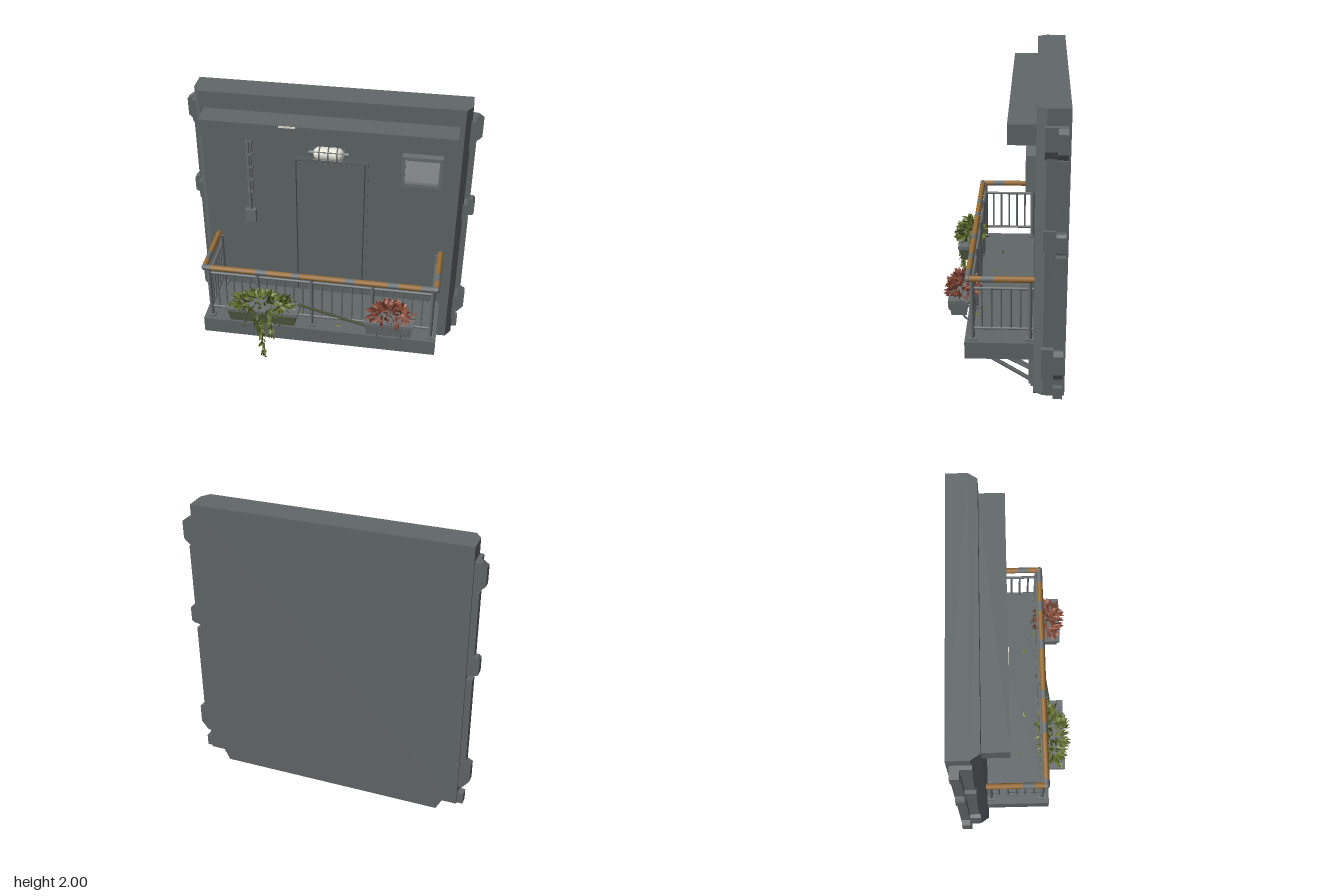
import * as THREE from 'three';
import { mergeGeometries } from 'three/addons/utils/BufferGeometryUtils.js';

const mat = (name, color, double) => {
  const m = new THREE.MeshStandardMaterial({ color, side: double ? THREE.DoubleSide : THREE.FrontSide });
  m.name = name;
  return m;
};

export function createModel() {
  const root = new THREE.Group();
  root.name = 'balconyWall';
  const wallGrey = mat('wall grey', 0x62686a);
  const metal = mat('metal grey', 0x6a7072);
  const dark = mat('dark grey', 0x3c4142);
  const wood = mat('worn wood', 0x9a6d35);
  const cream = mat('lamp cream', 0xe6e4d6);
  const green = mat('leaf green', 0x68742c, true);
  const deepGreen = mat('deep leaf green', 0x4c5726, true);
  const red = mat('leaf red', 0x91503c, true);
  const deepRed = mat('deep leaf red', 0x70392c, true);
  const mossy = mat('mossy grey', 0x555b42);

  let seed = 7;
  const rnd = () => (seed = (seed * 16807) % 2147483647) / 2147483647;
  const V = (x, y, z) => new THREE.Vector3(x, y, z);
  const add = (name, geo, m, parent = root) => {
    const mesh = new THREE.Mesh(geo, m);
    mesh.name = name;
    parent.add(mesh);
    return mesh;
  };
  const group = (name) => {
    const g = new THREE.Group();
    g.name = name;
    root.add(g);
    return g;
  };
  const box = (name, x0, x1, y0, y1, z0, z1, m, parent) => {
    const b = add(name, new THREE.BoxGeometry(x1 - x0, y1 - y0, z1 - z0), m, parent);
    b.position.set((x0 + x1) / 2, (y0 + y1) / 2, (z0 + z1) / 2);
    return b;
  };
  const rod = (name, a, b, r, m, parent, sides = 8) => {
    const d = b.clone().sub(a);
    const c = add(name, new THREE.CylinderGeometry(r, r, d.length(), sides), m, parent);
    c.position.copy(a).add(b).multiplyScalar(0.5);
    c.quaternion.setFromUnitVectors(V(0, 1, 0), d.normalize());
    return c;
  };
  const poly = (pts, depth, z) => {
    const g = new THREE.ExtrudeGeometry(new THREE.Shape(pts.map((p) => new THREE.Vector2(...p))), { depth, bevelEnabled: false });
    return g.translate(0, 0, z);
  };

  // Wall slab with a chamfered front edge
  const outline = [[-0.78, 0.02], [0.78, 0.02], [0.82, 0.1], [0.92, 0.1], [0.92, 2], [-0.92, 2], [-0.92, 0.1], [-0.82, 0.1]];
  add('wallBack', poly(outline, 0.14, -0.39), wallGrey);
  const front = poly(outline, 0.06, -0.25);
  const fp = front.attributes.position;
  for (let i = 0; i < fp.count; i++) {
    if (fp.getZ(i) > -0.2 && Math.abs(fp.getX(i)) > 0.9) fp.setX(i, Math.sign(fp.getX(i)) * 0.88);
  }
  front.computeVertexNormals();
  add('wallFront', front, wallGrey);

  // Edge strips and locking tabs, mirrored
  const tabs = [
    [[0.9, 1.66], [0.995, 1.75], [0.995, 1.87], [0.96, 1.895], [0.9, 1.9]],
    [[0.9, 1.11], [0.985, 1.13], [0.995, 1.14], [0.995, 1.24], [0.98, 1.255], [0.9, 1.255]],
    [[0.9, 0.23], [0.95, 0.24], [0.995, 0.3], [0.995, 0.43], [0.96, 0.45], [0.9, 0.46]],
  ];
  for (const s of [-1, 1]) {
    const side = group(s < 0 ? 'rightEdge' : 'leftEdge');
    const mirror = (x0, x1) => (s > 0 ? [x0, x1] : [-x1, -x0]);
    for (const [y0, y1] of [[0.46, 1.09], [1.26, 1.7], [0.1, 0.18]]) {
      box('edgeStrip', ...mirror(0.9, 0.96), y0, y1, -0.375, -0.315, wallGrey, side);
    }
    for (const t of tabs) {
      const pts = t.map(([x, y]) => [x * s, y]);
      add('tab', poly(pts, 0.06, -0.375), wallGrey, side);
      const inner = t.map(([x, y]) => [Math.min(x, 0.945) * s, y]);
      add('tabBlock', poly(inner, 0.075, -0.315), wallGrey, side);
    }
  }

  // Canopy and its light strip
  box('canopy', -0.845, 0.845, 1.755, 1.88, -0.2, -0.022, wallGrey);
  box('canopyLight', -0.31, -0.2, 1.868, 1.88, -0.022, -0.018, cream);

  // Door and frame
  const door = group('door');
  for (const [x0, x1, y0, y1] of [[-0.255, -0.235, 0.42, 1.56], [0.245, 0.265, 0.42, 1.56], [-0.235, 0.245, 1.535, 1.56]]) {
    box('doorFrame', x0, x1, y0, y1, -0.195, -0.182, wallGrey, door);
  }
  box('doorGap', -0.235, 0.245, 0.42, 1.535, -0.195, -0.189, dark, door);
  box('doorLeaf', -0.228, 0.238, 0.42, 1.528, -0.195, -0.184, wallGrey, door);

  // Caged lamp
  const lamp = group('lamp');
  box('lampBase', -0.11, 0.11, 1.585, 1.665, -0.195, -0.175, metal, lamp);
  const bulb = add('lampGlass', new THREE.CapsuleGeometry(0.045, 0.12, 6, 14), cream, lamp);
  bulb.rotation.z = Math.PI / 2;
  bulb.position.set(0, 1.625, -0.15);
  for (const x of [-0.06, 0, 0.06]) {
    const ring = add('lampRing', new THREE.TorusGeometry(0.049, 0.005, 5, 16), metal, lamp);
    ring.rotation.y = Math.PI / 2;
    ring.position.set(x, 1.625, -0.15);
  }
  for (const y of [1.595, 1.655]) rod('lampBar', V(-0.1, y, -0.111), V(0.1, y, -0.111), 0.004, metal, lamp);
  for (const s of [-1, 1]) rod('lampEnd', V(s * 0.1, 1.625, -0.155), V(s * 0.135, 1.625, -0.155), 0.015, metal, lamp);

  // Louvred vent
  const vent = group('vent');
  box('ventBack', 0.5, 0.75, 1.44, 1.65, -0.195, -0.17, dark, vent);
  box('ventTop', 0.49, 0.76, 1.635, 1.66, -0.195, -0.13, metal, vent);
  box('ventBottom', 0.49, 0.76, 1.43, 1.455, -0.195, -0.13, metal, vent);
  for (const x of [0.49, 0.738]) box('ventSide', x, x + 0.022, 1.455, 1.635, -0.195, -0.13, metal, vent);
  for (let i = 0; i < 6; i++) {
    const slat = box('ventSlat', 0.512, 0.738, 1.463 + i * 0.029, 1.488 + i * 0.029, -0.155, -0.149, metal, vent);
    slat.rotation.x = -0.5;
  }

  // Conduit, cable and switch box
  const conduit = group('conduit');
  rod('conduitPipe', V(-0.56, 1.1, -0.178), V(-0.56, 1.76, -0.178), 0.012, metal, conduit);
  box('switchBox', -0.597, -0.523, 1.01, 1.11, -0.195, -0.155, metal, conduit);
  const cable = new THREE.CatmullRomCurve3([V(-0.54, 1.24, -0.18), V(-0.545, 1.4, -0.18), V(-0.535, 1.64, -0.18),
    V(-0.5, 1.692, -0.18), V(-0.4, 1.697, -0.18), V(0, 1.695, -0.18), V(0.26, 1.695, -0.18)]);
  add('cable', new THREE.TubeGeometry(cable, 40, 0.009, 6), metal, conduit);
  for (const y of [1.25, 1.35, 1.45, 1.55, 1.65]) box('cableClip', -0.576, -0.53, y, y + 0.016, -0.195, -0.164, metal, conduit);

  // Balcony floor
  box('floor', -0.843, 0.816, 0.297, 0.415, -0.2, 0.25, wallGrey);

  // Railing
  const rail = group('railing');
  const L = -0.812, R = 0.795, F = 0.222, top = 0.86;
  const cuts = [-0.812, -0.77, -0.45, -0.37, -0.2, -0.14, 0.17, 0.24, 0.46, 0.54, 0.69, 0.795];
  for (let i = 0; i < cuts.length - 1; i++) {
    rod('handrailFront', V(cuts[i], top, F), V(cuts[i + 1], top, F), 0.02, i % 2 ? wood : metal, rail, 10);
  }
  for (const x of [L, R]) {
    const corner = add('handrailCorner', new THREE.SphereGeometry(0.022, 10, 8), metal, rail);
    corner.position.set(x, top, F);
    rod('handrailSide', V(x, top, F), V(x, top, 0.14), 0.02, wood, rail, 10);
    rod('handrailSideWorn', V(x, top, 0.14), V(x, top, 0.06), 0.02, metal, rail, 10);
    rod('handrailSide', V(x, top, 0.06), V(x, top, -0.195), 0.02, wood, rail, 10);
    const xi = x - Math.sign(x) * 0.022;
    for (const z of [0.2, -0.165]) {
      rod('sidePost', V(xi, 0.41, z), V(xi, top, z), 0.015, metal, rail);
      box('postFoot', xi - 0.025, xi + 0.025, 0.414, 0.43, z - 0.025, z + 0.025, metal, rail);
    }
    for (const y of [0.5, 0.785]) rod('sideBar', V(xi, y, 0.2), V(xi, y, -0.19), 0.01, metal, rail);
    for (let i = 1; i < 6; i++) rod('sideBaluster', V(xi, 0.5, 0.2 - i * 0.061), V(xi, 0.785, 0.2 - i * 0.061), 0.007, metal, rail, 6);
  }
  for (const y of [0.5, 0.8]) rod('frontBar', V(-0.79, y, 0.2), V(0.773, y, 0.2), 0.01, metal, rail);
  const posts = [-0.79, -0.445, -0.065, 0.36, 0.773];
  posts.forEach((x, i) => {
    rod('frontPost', V(x, 0.41, 0.2), V(x, top, 0.2), 0.014, metal, rail);
    box('postFoot', x - 0.025, x + 0.025, 0.414, 0.43, 0.175, 0.225, metal, rail);
    if (i === 4) return;
    for (let k = 1; k < 6; k++) {
      const bx = x + ((posts[i + 1] - x) * k) / 6;
      rod('frontBaluster', V(bx, 0.5, 0.2), V(bx, 0.8, 0.2), 0.006, metal, rail, 6);
    }
  });

  // Support brackets below the floor
  for (const x of [-0.63, 0.585]) {
    const b = group('supportBracket');
    box('bracketPlate', x - 0.06, x + 0.06, 0.03, 0.285, -0.2, -0.175, dark, b);
    box('bracketFoot', x - 0.088, x + 0.088, 0, 0.05, -0.235, -0.175, metal, b);
    for (const s of [-1, 1]) {
      const px = x + s * 0.07;
      box('bracketCheek', px - 0.016, px + 0.016, 0.02, 0.285, -0.2, -0.16, metal, b);
      box('bracketArm', px - 0.016, px + 0.016, 0.255, 0.297, -0.19, 0.18, metal, b);
      rod('bracketStrut', V(px, 0.25, 0.15), V(px, 0.04, -0.18), 0.014, metal, b);
      rod('bracketBrace', V(px, 0.25, 0.06), V(px, 0.12, -0.18), 0.009, metal, b);
      rod('bracketBolt', V(px - 0.024, 0.258, 0.155), V(px + 0.024, 0.258, 0.155), 0.022, metal, b);
    }
    rod('bracketCrossbar', V(x - 0.07, 0.258, 0.155), V(x + 0.07, 0.258, 0.155), 0.012, metal, b);
  }

  // Planter boxes with tapered sides and hooked brackets
  const planter = (name, x0, x1, m) => {
    const g = group(name);
    const w = x1 - x0, cx = (x0 + x1) / 2;
    const geo = new THREE.BoxGeometry(w, 0.11, 0.125);
    const p = geo.attributes.position;
    for (let i = 0; i < p.count; i++) if (p.getY(i) < 0) p.setXYZ(i, p.getX(i) * 0.93, p.getY(i), p.getZ(i) * 0.8);
    geo.computeVertexNormals();
    add('planterBox', geo, m, g).position.set(cx, 0.57, 0.295);
    box('planterRim', x0 - 0.008, x1 + 0.008, 0.605, 0.628, 0.226, 0.364, metal, g);
    for (const x of [x0 + w * 0.25, x1 - w * 0.25]) {
      const hook = new THREE.CatmullRomCurve3([V(x, 0.44, 0.215), V(x, 0.45, 0.25), V(x, 0.51, 0.3), V(x, 0.515, 0.36), V(x, 0.56, 0.365)]);
      add('planterHook', new THREE.TubeGeometry(hook, 12, 0.007, 5), metal, g);
    }
  };
  planter('greenPlanter', -0.635, -0.145, mossy);
  planter('redPlanter', 0.33, 0.655, metal);

  // One folded leaf pointing along a direction
  const leaf = (pos, dir, len, wid) => {
    const g = new THREE.BufferGeometry();
    g.setAttribute('position', new THREE.Float32BufferAttribute([
      0, 0, 0, wid, len * 0.45, 0.25 * wid, 0, len, 0, 0, 0, 0, 0, len, 0, -wid, len * 0.45, 0.25 * wid], 3));
    g.computeVertexNormals();
    g.rotateY(rnd() * 6.28);
    g.applyQuaternion(new THREE.Quaternion().setFromUnitVectors(V(0, 1, 0), dir.normalize()));
    return g.translate(pos.x, pos.y, pos.z);
  };
  // Dome of leaves spilling over a planter
  const foliage = (name, n, c, r, mats) => {
    const sets = [[], []];
    for (let i = 0; i < n; i++) {
      const a = rnd() * 6.283, h = rnd(), k = Math.sqrt(1 - h * h) * (0.65 + 0.35 * rnd());
      const d = V(Math.cos(a) * k, h * 0.9, Math.sin(a) * k);
      const pos = V(c.x + d.x * r.x, c.y + d.y * r.y, c.z + d.z * r.z);
      const dir = V(d.x * 0.7 + rnd() - 0.5, d.y * 0.7 - 0.2 + (rnd() - 0.4) * 0.8, d.z + (rnd() - 0.5) * 0.6);
      sets[i % 3 === 0 ? 1 : 0].push(leaf(pos, dir, 0.045 + rnd() * 0.02, 0.016));
    }
    sets.forEach((s, i) => add(name, mergeGeometries(s), mats[i]));
  };
  foliage('greenFoliage', 300, V(-0.395, 0.615, 0.285), V(0.225, 0.085, 0.085), [green, deepGreen]);
  foliage('redFoliage', 230, V(0.495, 0.62, 0.28), V(0.145, 0.105, 0.08), [red, deepRed]);

  // Hanging vines
  for (const [x, end] of [[-0.395, 0.18], [-0.33, 0.36], [-0.43, 0.42]]) {
    const leaves = [];
    for (let y = 0.62; y > end + 0.03; y -= 0.009) {
      leaves.push(leaf(V(x + (rnd() - 0.5) * 0.02, y, 0.345 + (rnd() - 0.5) * 0.02),
        V(rnd() * 1.6 - 0.8, -0.8, rnd() * 1.4 - 0.6), 0.042, 0.013));
    }
    add('vineLeaves', mergeGeometries(leaves), x < -0.42 ? deepGreen : green);
    rod('vineStem', V(x, end + 0.02, 0.345), V(x, 0.62, 0.345), 0.004, deepGreen, root, 5);
  }

  // Fallen stem leaning from the planter to the floor, with loose leaves
  rod('fallenStem', V(-0.15, 0.645, 0.265), V(0.43, 0.44, 0.21), 0.009, mossy, root, 6);
  const loose = [];
  for (const [x, z] of [[0.3, 0.1], [0.38, 0.15], [0.44, 0.2], [-0.2, 0.1], [-0.5, 0.05], [0.1, 0.18]]) {
    loose.push(leaf(V(x, 0.422, z), V(1, 0.05, rnd() - 0.5), 0.05, 0.014));
  }
  for (const [x, y] of [[-0.57, 0.39], [-0.28, 0.365]]) loose.push(leaf(V(x, y, 0.256), V(1, 0.1, 0), 0.04, 0.014));
  add('looseLeaves', mergeGeometries(loose), green);

  return root;
}
